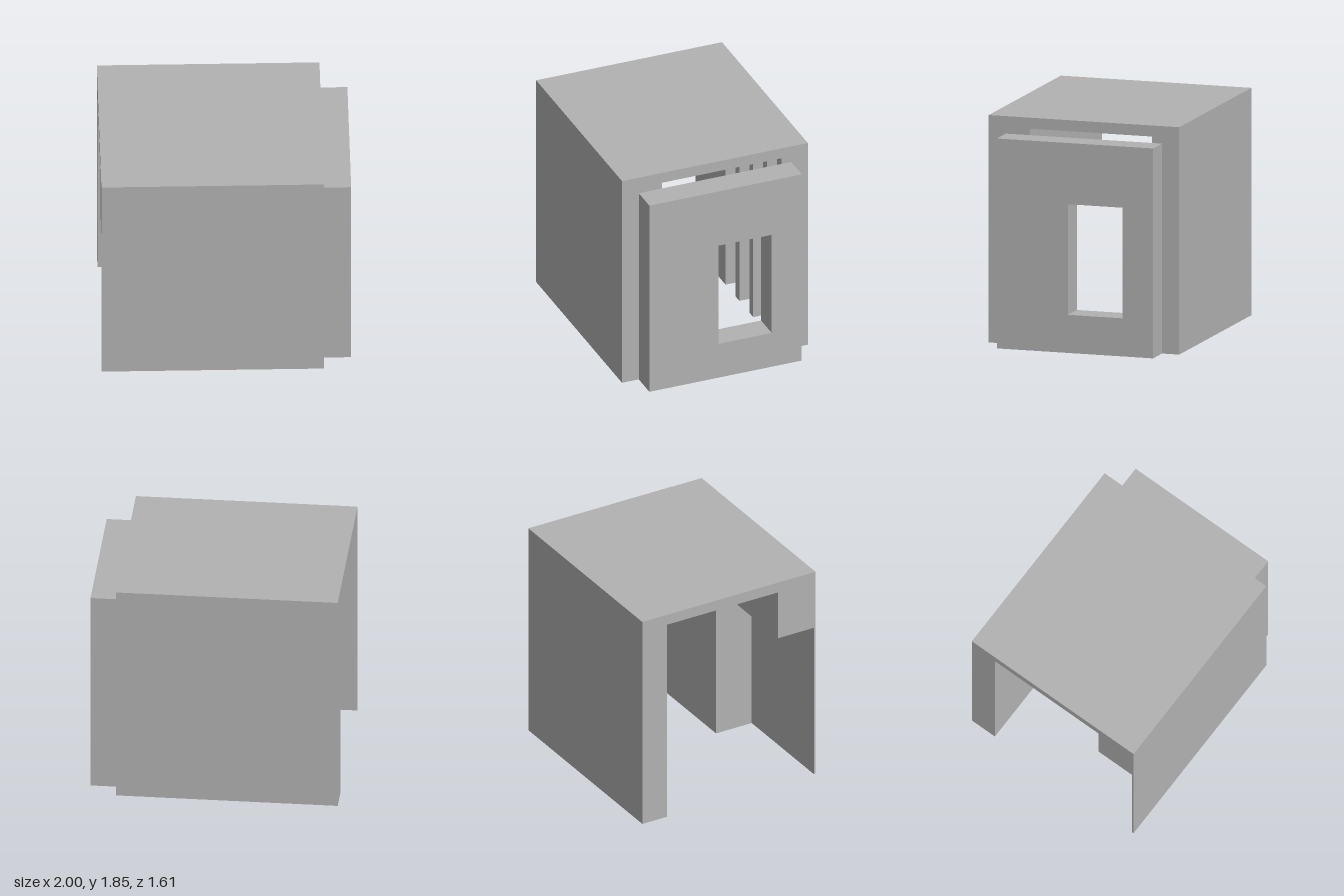
import * as THREE from 'three';
import { toCreasedNormals } from 'three/addons/utils/BufferGeometryUtils.js';

// Main levels of the housing
const LEFT = 0.78, RIGHT = -1, FRONT = 0.805, BACK = -0.805;
const INNER_FRONT = 0.457, INNER_BACK = -0.575;
const CEILING = 1.76, TOP = 1.85;

export function createModel() {
  const model = new THREE.Group();
  model.name = 'slottedHousing';
  const grey = new THREE.MeshStandardMaterial({ color: 0xb2b2b2 });
  grey.name = 'plainGrey';

  const add = (name, geometry) => {
    const mesh = new THREE.Mesh(geometry, grey);
    mesh.name = name;
    model.add(mesh);
  };
  // Box given by its limits on each axis
  const block = (name, x0, x1, y0, y1, z0, z1) => {
    const g = new THREE.BoxGeometry(x1 - x0, y1 - y0, z1 - z0);
    add(name, g.translate((x0 + x1) / 2, (y0 + y1) / 2, (z0 + z1) / 2));
  };
  const outline = (points) => new THREE.Shape(points.map(([a, b]) => new THREE.Vector2(a, b)));
  const extrude = (shape, depth) => toCreasedNormals(
    new THREE.ExtrudeGeometry(shape, { depth, bevelEnabled: false, curveSegments: 32 }), 0.6);
  // Floor plan in (x, -z), raised from the ground to the ceiling
  const raisePlan = (name, shape) => add(name, extrude(shape, CEILING).rotateX(-Math.PI / 2));

  // Roof slab
  block('roof', RIGHT, LEFT, CEILING, TOP, BACK, FRONT);

  // Back wall with four upright grooves on its inner side
  const grooveDepth = 0.1, grooveWidth = 0.205, pitch = 0.286;
  const wall = [[RIGHT, -BACK], [RIGHT, -INNER_BACK]];
  for (let i = 0; i < 4; i++) {
    const x0 = -0.375 + i * pitch, x1 = x0 + grooveWidth;
    wall.push([x0, -INNER_BACK], [x0, -INNER_BACK + grooveDepth],
      [x1, -INNER_BACK + grooveDepth], [x1, -INNER_BACK]);
  }
  wall.push([LEFT, -INNER_BACK], [LEFT, -BACK]);
  raisePlan('groovedBackWall', outline(wall));

  // Thick front block with a round bore open at the bottom
  const blockRight = -0.03;
  const front = outline([[blockRight, -FRONT], [LEFT, -FRONT], [LEFT, -INNER_FRONT], [blockRight, -INNER_FRONT]]);
  front.holes.push(new THREE.Path().absarc(0.207, -0.625, 0.087, 0, Math.PI * 2, true));
  raisePlan('frontBlock', front);

  // Thin front panel and the beam above it
  const beamBottom = 1.34;
  block('frontPanel', RIGHT, blockRight, 0, beamBottom, FRONT - 0.016, FRONT);
  block('frontBeam', RIGHT, blockRight, beamBottom, CEILING, INNER_FRONT, FRONT);

  // End plate with a window, drawn in (-z, y)
  const plate = outline([[-0.66, 0], [0.66, 0], [0.66, 1.708], [-0.66, 1.708]]);
  plate.holes.push(new THREE.Path([[-0.06, 0.31], [-0.06, 1.21], [0.4, 1.21], [0.4, 0.31]]
    .map(([a, b]) => new THREE.Vector2(a, b))));
  add('endPlate', extrude(plate, 1 - LEFT).rotateY(Math.PI / 2).translate(LEFT, 0, 0));

  return model;
}
